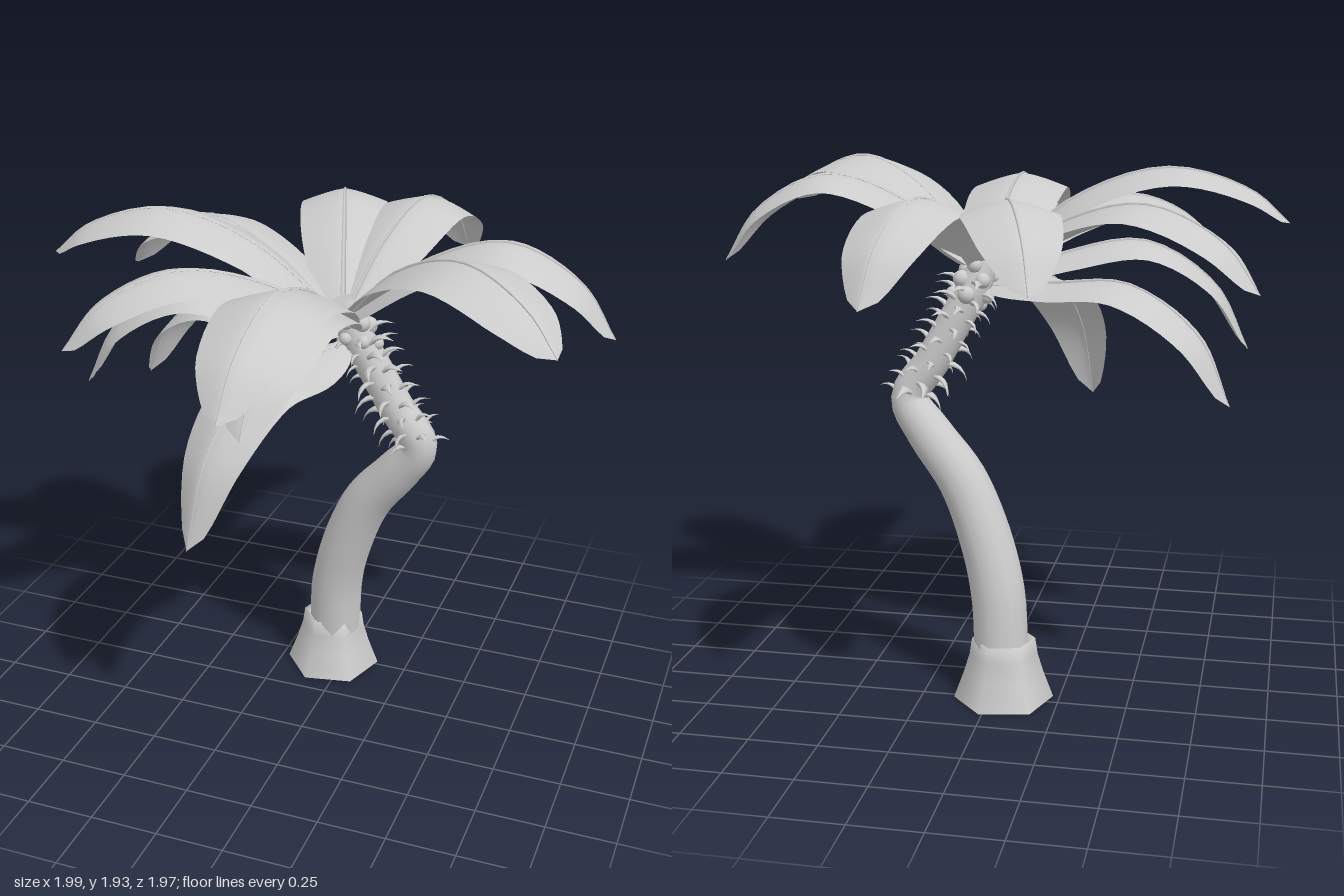
import * as THREE from 'three';

const V = (x, y, z) => new THREE.Vector3(x, y, z);
const grey = new THREE.MeshStandardMaterial({ color: 0xcccccc });
const greyThin = new THREE.MeshStandardMaterial({ color: 0xcccccc, side: THREE.DoubleSide });

function addMesh(parent, name, geometry, material) {
  const mesh = new THREE.Mesh(geometry, material);
  mesh.name = name;
  parent.add(mesh);
  return mesh;
}

function addGroup(parent, name) {
  const group = new THREE.Group();
  group.name = name;
  parent.add(group);
  return group;
}

// Smooth surface from a grid of points: pointAt(u, v), u along, v across, both 0..1
function surface(nu, nv, pointAt) {
  const pos = [], idx = [];
  for (let i = 0; i <= nu; i++) {
    for (let j = 0; j <= nv; j++) {
      pos.push(...pointAt(i / nu, j / nv).toArray());
      if (i < nu && j < nv) {
        const a = i * (nv + 1) + j, b = a + nv + 1;
        idx.push(a, a + 1, b, a + 1, b + 1, b);
      }
    }
  }
  const g = new THREE.BufferGeometry();
  g.setAttribute('position', new THREE.Float32BufferAttribute(pos, 3));
  g.setIndex(idx);
  g.computeVertexNormals();
  return g;
}

// Trunk centre line and radii, bottom to top
const trunkPoints = [
  V(-0.037, 0.18, -0.227), V(-0.022, 0.4, -0.212), V(0.03, 0.6, -0.187), V(0.118, 0.8, -0.16),
  V(0.245, 0.96, -0.13), V(0.325, 1.085, -0.105), V(0.24, 1.22, -0.1), V(0.15, 1.38, -0.09),
  V(0.085, 1.5, -0.075), V(0.04, 1.62, -0.05),
];
const trunkRadii = [0.1, 0.1, 0.096, 0.09, 0.082, 0.068, 0.064, 0.062, 0.06, 0.045];
const trunkCurve = new THREE.CatmullRomCurve3(trunkPoints);

// Position, tangent, two cross directions and radius at t on the trunk
function trunkFrame(t) {
  const tangent = trunkCurve.getTangent(t);
  const z = V(0, 0, 1).addScaledVector(tangent, -tangent.z).normalize();
  const x = tangent.clone().cross(z).normalize();
  const k = t * (trunkRadii.length - 1), i = Math.min(Math.floor(k), trunkRadii.length - 2);
  const radius = THREE.MathUtils.lerp(trunkRadii[i], trunkRadii[i + 1], k - i);
  return { centre: trunkCurve.getPoint(t), tangent, x, z, radius };
}

function onTrunk(t, angle, scale = 1) {
  const f = trunkFrame(t);
  return f.centre.addScaledVector(f.x, Math.cos(angle) * f.radius * scale)
    .addScaledVector(f.z, Math.sin(angle) * f.radius * scale);
}

function buildTrunk(group) {
  const side = surface(45, 14, (u, v) => onTrunk(u, -v * Math.PI * 2));
  addMesh(group, 'trunk', side, greyThin);
  const cap = surface(1, 14, (u, v) => onTrunk(1, -v * Math.PI * 2, 1 - u));
  addMesh(group, 'trunkTop', cap, greyThin);

  // Six-sided flared foot, open underneath, with a slight lip
  const profile = [[0.182, 0], [0.145, 0.1], [0.124, 0.17], [0.115, 0.23], [0.09, 0.215]];
  const foot = new THREE.LatheGeometry(profile.map(p => new THREE.Vector2(...p)), 6);
  foot.rotateY(Math.PI / 2 + 0.2);
  addMesh(group, 'trunkFoot', foot, greyThin).position.set(-0.047, 0, -0.232);
}

// Curled bark scales spiralling round the upper trunk
function buildBarkScales(group) {
  const geo = new THREE.ConeGeometry(0.026, 0.085, 6, 4);
  geo.translate(0, 0.035, 0);
  const p = geo.attributes.position;
  for (let i = 0; i < p.count; i++) {
    const y = p.getY(i);
    p.setZ(i, p.getZ(i) * 0.45 + 0.012 * Math.sin(y * 30) - 5 * y * y);
  }
  geo.computeVertexNormals();
  const scales = addGroup(group, 'barkScales');
  const count = 50;
  for (let i = 0; i < count; i++) {
    const t = 0.57 + 0.33 * i / count, angle = i * 2.4;
    const f = trunkFrame(t);
    const out = f.x.clone().multiplyScalar(Math.cos(angle)).addScaledVector(f.z, Math.sin(angle));
    const mesh = addMesh(scales, 'barkScale', geo, grey);
    mesh.position.copy(onTrunk(t, angle, 0.95));
    mesh.quaternion.setFromRotationMatrix(
      new THREE.Matrix4().makeBasis(out.clone().cross(f.tangent), out, f.tangent));
    mesh.scale.setScalar(0.7 + 0.4 * ((i * 7) % 5) / 4);
  }
}

// Round nuts clustered under the crown
function buildNuts(group) {
  const nuts = addGroup(group, 'nuts');
  const geo = new THREE.SphereGeometry(0.032, 10, 8);
  for (let i = 0; i < 12; i++) {
    const nut = addMesh(nuts, 'nut', geo, grey);
    nut.position.copy(onTrunk(0.83 + 0.011 * i, i * 2.4, 0.95));
    nut.scale.setScalar(0.75 + 0.25 * (i % 3) / 2);
  }
}

// One arched leaf with a raised midrib, from the crown over its peak to its tip
function buildFrond(group, [tx, ty, tz, peak, startY, width]) {
  const start = V(0.05, startY, -0.05), tip = V(tx, ty, tz);
  const at = (u, y) => V(start.x + (tx - start.x) * u, y, start.z + (tz - start.z) * u);
  const path = new THREE.CatmullRomCurve3([
    start, at(0.3, startY + 0.72 * (peak - startY)), at(0.6, peak),
    at(0.87, peak - 0.4 * (peak - ty)), tip,
  ]);
  const side = V(tz - start.z, 0, start.x - tx).normalize();
  const frame = u => ({ c: path.getPoint(u), up: path.getTangent(u).cross(side).normalize() });
  const frond = addGroup(group, 'frond');

  const blade = surface(22, 8, (u, v) => {
    const { c, up } = frame(u);
    const s = v * 2 - 1;
    const w = width * Math.pow(Math.max(Math.sin(Math.PI * Math.pow(u, 0.82)), 0), 0.55);
    return c.addScaledVector(side, s * w).addScaledVector(up, -0.3 * w * Math.pow(Math.abs(s), 1.3));
  });
  addMesh(frond, 'leafBlade', blade, greyThin);

  const rib = surface(18, 4, (u, v) => {
    const { c, up } = frame(u);
    const r = 0.01 * (1 - 0.8 * u), a = v * Math.PI * 2;
    return c.addScaledVector(side, r * Math.cos(a)).addScaledVector(up, r * Math.sin(a));
  });
  addMesh(frond, 'midrib', rib, greyThin);
}

// Tip x, y, z, peak height, start height, half width
const fronds = [
  [-0.26, 1.6, -0.95, 1.85, 1.55, 0.165],
  [0.25, 1.55, -0.99, 1.85, 1.55, 0.17],
  [0.99, 1.57, -0.14, 1.88, 1.55, 0.175],
  [0.92, 1.73, 0.49, 1.92, 1.55, 0.18],
  [0.02, 1.58, 0.98, 1.84, 1.55, 0.18],
  [0.06, 1.5, 0.9, 1.78, 1.53, 0.175],
  [-0.73, 1.55, 0.55, 1.79, 1.54, 0.165],
  [-1.0, 1.72, 0.08, 1.91, 1.55, 0.17],
  [-0.92, 1.54, -0.4, 1.81, 1.54, 0.165],
  [-0.87, 1.26, 0.14, 1.65, 1.5, 0.165],
  [-0.83, 1.14, -0.28, 1.53, 1.49, 0.165],
  [-0.24, 0.95, 0.68, 1.46, 1.47, 0.17],
];

export function createModel() {
  const model = new THREE.Group();
  model.name = 'palmTree';
  buildTrunk(model);
  buildBarkScales(model);
  buildNuts(model);
  const crown = addGroup(model, 'crown');
  fronds.forEach(f => buildFrond(crown, f));
  return model;
}
